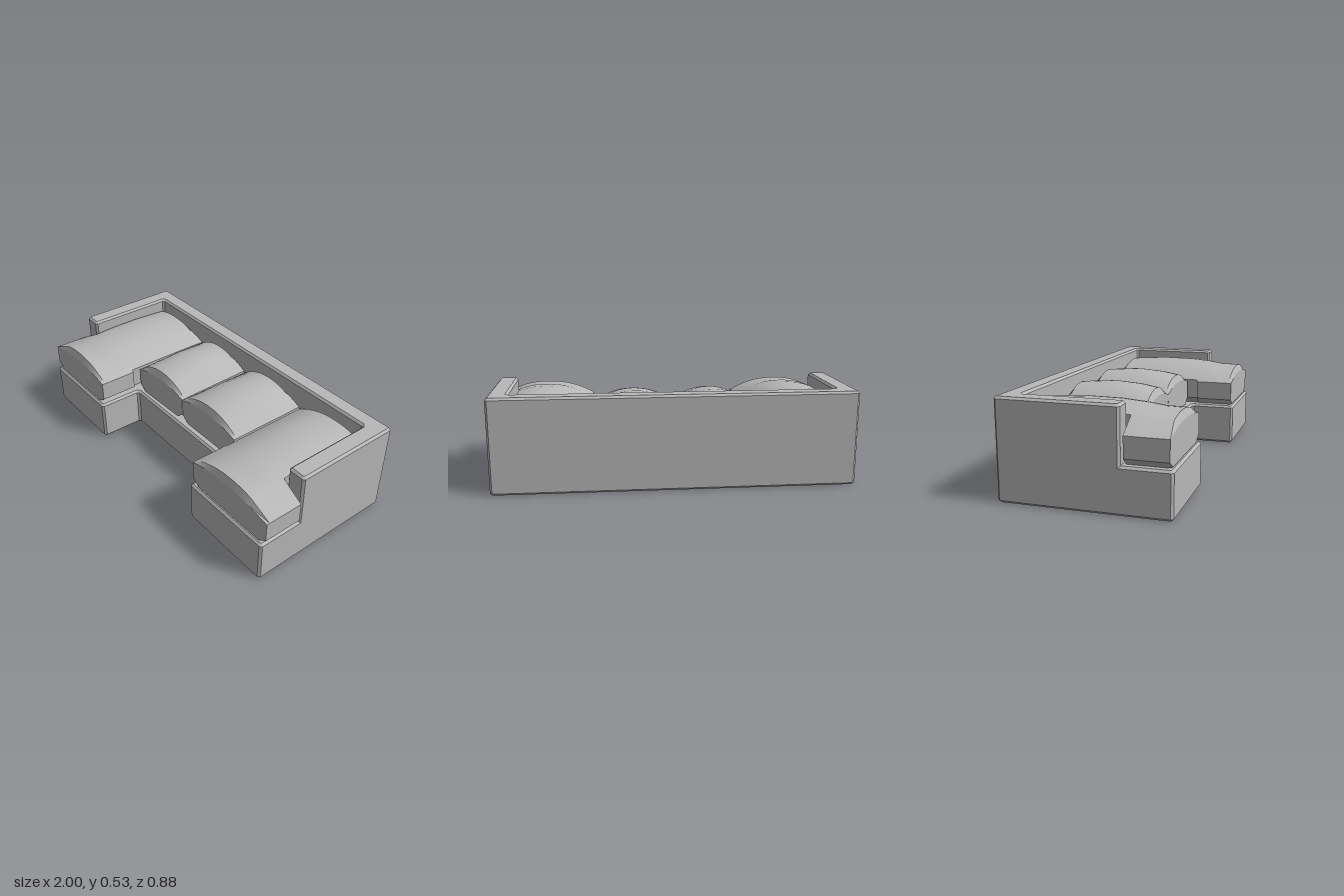
import * as THREE from 'three';
import { toCreasedNormals } from 'three/addons/utils/BufferGeometryUtils.js';

const fabric = new THREE.MeshStandardMaterial({ color: 0xb8b8b8 });
fabric.name = 'grey fabric';

// Upright block from an [x, z] outline, with every edge chamfered
function chamferedBlock(name, outline, height, c = 0.012) {
  const pts = outline.map(([x, z]) => new THREE.Vector2(x, -z));
  const n = pts.length;
  const cut = [];
  pts.forEach((p, i) => {
    for (const q of [pts[(i + n - 1) % n], pts[(i + 1) % n]]) {
      cut.push(p.clone().add(q.clone().sub(p).setLength(c)));
    }
  });
  const geo = new THREE.ExtrudeGeometry(new THREE.Shape(cut), {
    depth: height - 2 * c, bevelEnabled: true, bevelSegments: 1,
    bevelSize: c, bevelThickness: c, bevelOffset: -c,
  });
  geo.rotateX(-Math.PI / 2).translate(0, c, 0);
  const mesh = new THREE.Mesh(geo, fabric);
  mesh.name = name;
  return mesh;
}

// Puffy cushion lofted along z from arched cross-sections.
// [x0, x1] is the full width, [a, b] the width where it is notched for an arm.
// Each section is [z, crown height, bottom height, notched].
function cushion(name, x0, x1, a, b, sections) {
  const mid = (x0 + x1) / 2, half = (x1 - x0) / 2, steps = 12, edge = 0.385;
  const loops = sections.map(([z, crown, bottom, notched]) => {
    const L = notched ? a : x0, R = notched ? b : x1;
    const top = (x) => edge + (crown - edge) * (1 - Math.abs((x - mid) / half) ** 2.2);
    const loop = [[L + 0.05, bottom], [R - 0.05, bottom], [R, 0.278], [R, top(R)]];
    for (let i = 0; i <= steps; i++) {
      const x = b + ((a - b) * i) / steps;
      loop.push([x, top(x)]);
    }
    loop.push([L, top(L)], [L, 0.278]);
    return loop.map(([x, y]) => [x, y, z]);
  });
  const n = loops[0].length, positions = loops.flat(2), index = [];
  for (let s = 0; s < loops.length - 1; s++) {
    for (let i = 0; i < n; i++) {
      const p = s * n + i, q = s * n + ((i + 1) % n);
      index.push(p, q, q + n, p, q + n, p + n);
    }
  }
  // End caps
  const last = (loops.length - 1) * n, centre = loops.length * n;
  for (const s of [0, loops.length - 1]) {
    const l = loops[s];
    positions.push((l[0][0] + l[1][0]) / 2, 0.33, l[0][2]);
  }
  for (let i = 0; i < n; i++) {
    const j = (i + 1) % n;
    index.push(centre, j, i, centre + 1, last + i, last + j);
  }
  const geo = new THREE.BufferGeometry();
  geo.setAttribute('position', new THREE.Float32BufferAttribute(positions, 3));
  geo.setIndex(index);
  const mesh = new THREE.Mesh(toCreasedNormals(geo, 0.4), fabric);
  mesh.name = name;
  return mesh;
}

export function createModel() {
  const sofa = new THREE.Group();
  sofa.name = 'sectionalSofa';
  const left = 0.985, right = -0.995, back = -0.44, front = 0.44;

  // U-shaped plinth with two projecting chaises
  sofa.add(chamferedBlock('base', [
    [right, back], [left, back], [left, front], [0.43, front],
    [0.43, 0.18], [-0.445, 0.18], [-0.445, front], [right, front],
  ], 0.24));

  // Backrest and arms in one wall
  sofa.add(chamferedBlock('backAndArms', [
    [right, back], [left, back], [left, 0.188], [0.88, 0.188],
    [0.88, -0.34], [-0.89, -0.34], [-0.89, 0.188], [right, 0.188],
  ], 0.525));

  // Chaise cushions, wrapping around the arm fronts
  const chaise = [
    [-0.335, 0.44, 0.245, true], [-0.31, 0.475, 0.238, true],
    [-0.1, 0.49, 0.238, true], [0.08, 0.488, 0.238, true],
    [0.203, 0.478, 0.238, true], [0.206, 0.478, 0.238, false],
    [0.3, 0.462, 0.238, false], [0.408, 0.46, 0.238, false],
    [0.425, 0.42, 0.245, false],
  ];
  sofa.add(cushion('rightChaiseCushion', -1, -0.447, -0.875, -0.46, chaise));
  sofa.add(cushion('leftChaiseCushion', 0.44, 1, 0.453, 0.87, chaise));

  // Middle seat cushions
  const seat = [
    [-0.335, 0.44, 0.245, false], [-0.31, 0.475, 0.238, false],
    [-0.12, 0.49, 0.238, false], [0.03, 0.478, 0.238, false],
    [0.127, 0.46, 0.238, false], [0.145, 0.42, 0.245, false],
  ];
  const seatRight = cushion('rightSeatCushion', -0.453, -0.035, -0.44, -0.048, seat);
  seatRight.rotation.y = 0.025;
  sofa.add(seatRight);
  sofa.add(cushion('leftSeatCushion', -0.028, 0.432, -0.015, 0.42, seat));

  return sofa;
}
